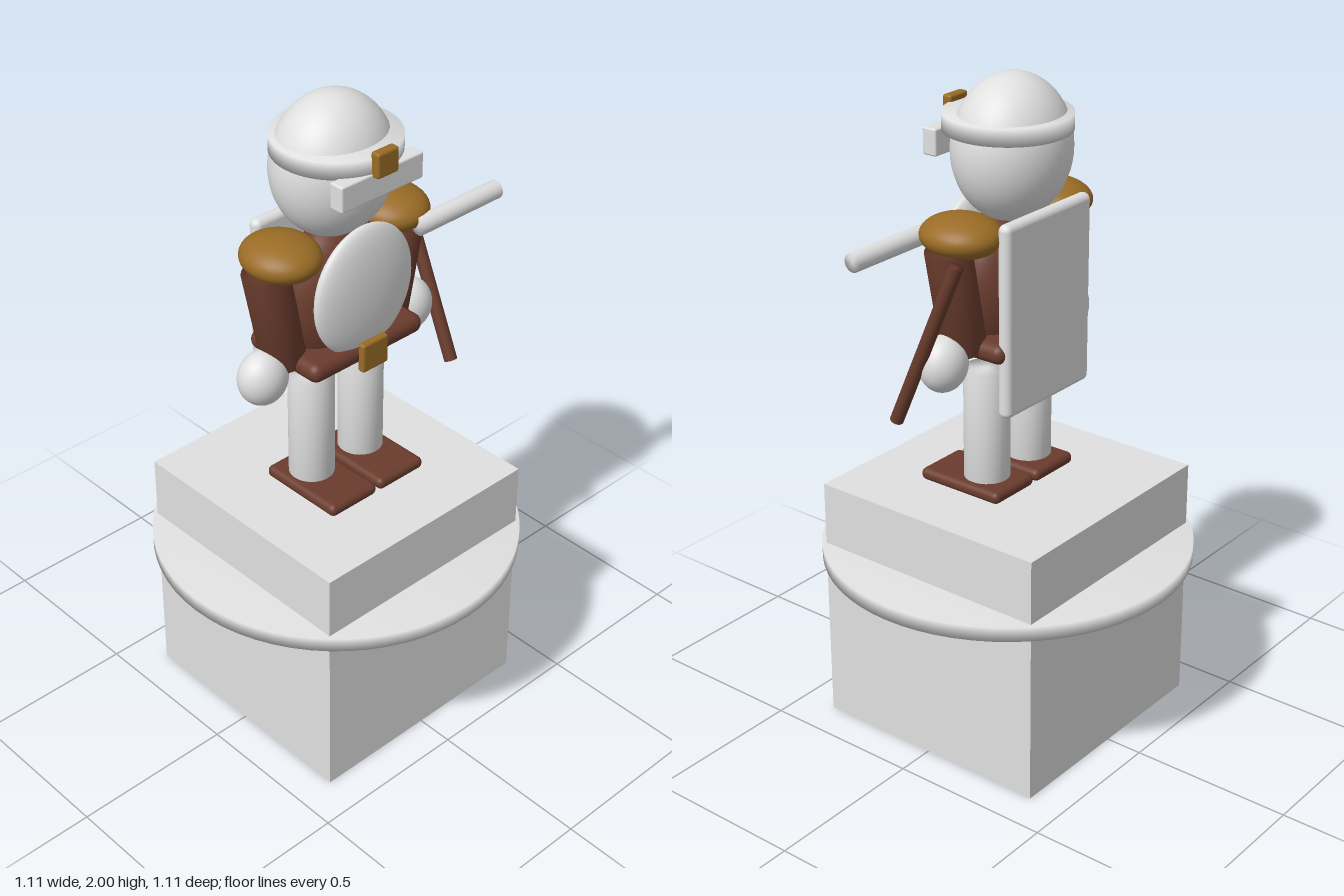
import * as THREE from 'three';
import { mergeVertices } from 'three/addons/utils/BufferGeometryUtils.js';
import { RoundedBoxGeometry } from 'three/addons/geometries/RoundedBoxGeometry.js';

const mat = (name, color) => new THREE.MeshStandardMaterial({ name, color });

export function createModel() {
  const stone = mat('pale stone', 0xe0e0e0);
  const leather = mat('brown leather', 0x6a3c2d);
  const brass = mat('brass', 0x9a6c26);
  const model = new THREE.Group();
  model.name = 'figureOnPedestal';

  const add = (name, geo, material, x, y, z) => {
    const mesh = new THREE.Mesh(geo, material);
    mesh.name = name;
    mesh.position.set(x, y, z);
    model.add(mesh);
    return mesh;
  };
  // Ellipsoid from three radii
  const ball = (name, material, [x, y, z], [rx, ry, rz]) =>
    add(name, new THREE.SphereGeometry(1, 40, 28).scale(rx, ry, rz), material, x, y, z);
  // Cylinder with normals blended softly over the rims
  const softCylinder = (r, h, sides = 32) => {
    const g = new THREE.CylinderGeometry(r, r, h, sides);
    g.deleteAttribute('normal');
    g.deleteAttribute('uv');
    const merged = mergeVertices(g);
    merged.computeVertexNormals();
    return merged;
  };
  // Soft cylinder between two points
  const rod = (name, material, a, b, r) => {
    const from = new THREE.Vector3(...a), to = new THREE.Vector3(...b);
    const dir = to.clone().sub(from);
    const mid = from.clone().add(to).multiplyScalar(0.5);
    const mesh = add(name, softCylinder(r, dir.length()), material, mid.x, mid.y, mid.z);
    mesh.quaternion.setFromUnitVectors(new THREE.Vector3(0, 1, 0), dir.normalize());
    return mesh;
  };
  // Rounded block from min and max corners
  const block = (name, material, lo, hi, r) => {
    const s = hi.map((v, i) => v - lo[i]);
    const c = hi.map((v, i) => (v + lo[i]) / 2);
    return add(name, new RoundedBoxGeometry(...s, 4, r), material, ...c);
  };

  // Pedestal with a round ledge
  add('pedestal', new THREE.BoxGeometry(0.77, 0.775, 0.77), stone, 0, 0.3875, 0);
  add('pedestalLedge', softCylinder(0.557, 0.045, 64), stone, 0, 0.557, 0);

  // Torso, belt, cloak and beard
  ball('torso', leather, [0, 1.39, 0], [0.195, 0.24, 0.118]);
  block('belt', leather, [-0.213, 1.225, -0.142], [0.213, 1.285, 0.145], 0.029);
  block('beltBuckle', brass, [-0.049, 1.208, 0.14], [0.049, 1.3, 0.165], 0.008);
  block('cloak', stone, [-0.193, 1.06, -0.152], [0.193, 1.635, -0.11], 0.02);
  ball('beard', stone, [0, 1.445, 0.11], [0.182, 0.2, 0.045]);

  // Paired limbs
  for (const [side, s] of [['left', 1], ['right', -1]]) {
    add(side + 'Leg', softCylinder(0.068, 0.34), stone, s * 0.098, 0.985, 0);
    block(side + 'Boot', leather,
      [s * 0.095 - 0.09, 0.774, -0.105], [s * 0.095 + 0.09, 0.812, 0.185], 0.018);
    rod(side + 'Arm', leather, [s * 0.263, 1.56, 0], [s * 0.198, 1.25, 0], 0.066);
    ball(side + 'Hand', stone, [s * 0.283, 1.228, 0.005], [0.077, 0.083, 0.067]);
    ball(side + 'ShoulderPad', brass, [s * 0.205, 1.585, 0], [0.11, 0.061, 0.122]);
  }

  // Head, hat brim, visor and hat buckle
  ball('head', stone, [0, 1.79, -0.015], [0.186, 0.21, 0.163]);
  add('hatBrim', softCylinder(0.184, 0.05, 48), stone, 0, 1.864, 0);
  block('visor', stone, [-0.15, 1.765, 0.135], [0.15, 1.844, 0.183], 0.006);
  block('hatBuckle', brass, [-0.039, 1.833, 0.172], [0.039, 1.908, 0.203], 0.008);

  // Hammer: tilted handle and crosswise head
  rod('hammerHandle', leather, [0.357, 1.05, 0.117], [0.357, 1.56, -0.108], 0.02);
  rod('hammerHead', stone, [0.2, 1.567, 0.12], [0.515, 1.567, 0.12], 0.028);

  return model;
}
